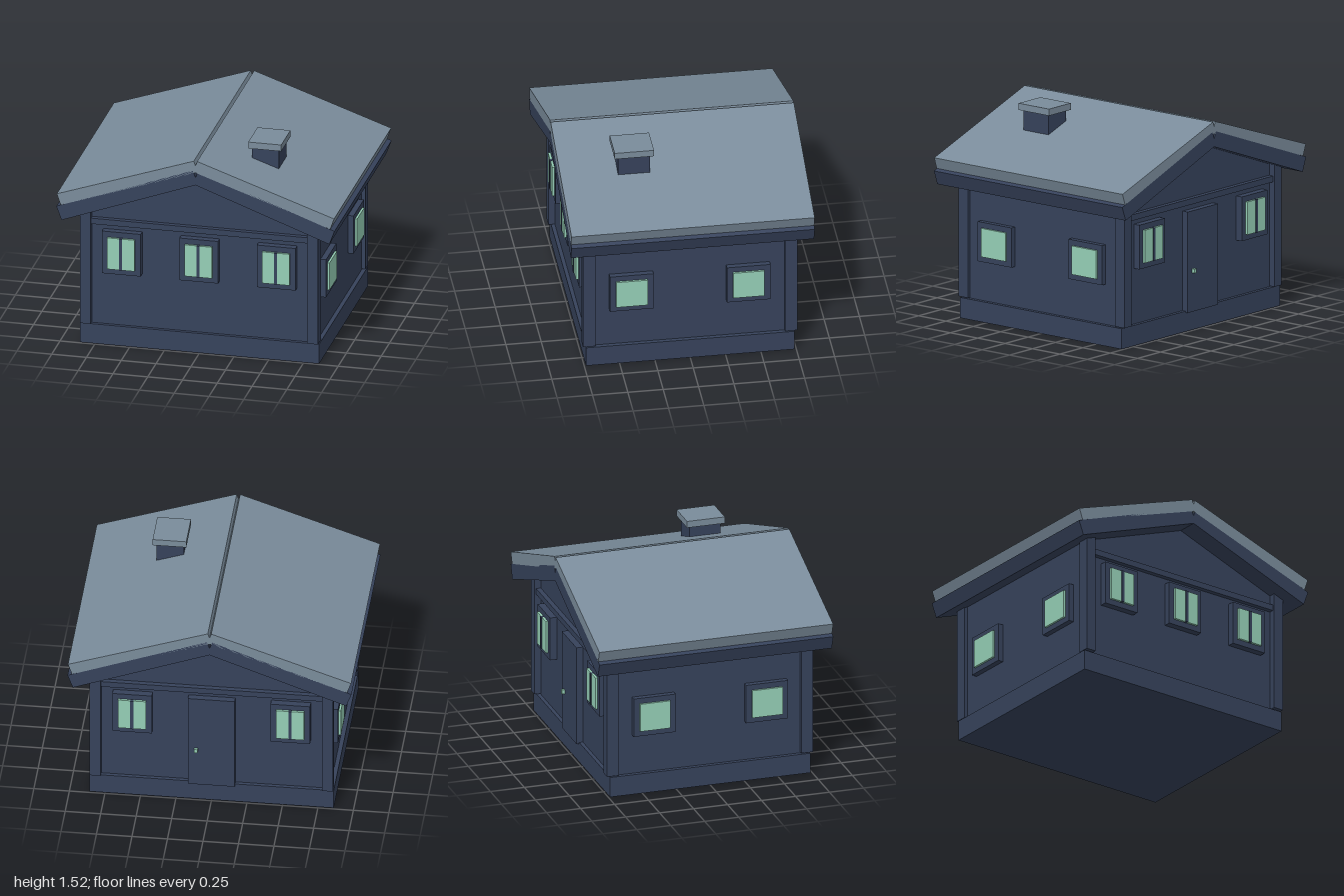
import * as THREE from 'three';

export function createModel() {
  const house = new THREE.Group();
  house.name = 'house';
  const mat = (name, color) => {
    const m = new THREE.MeshStandardMaterial({ color });
    m.name = name;
    return m;
  };
  const navy = mat('navy walls', 0x36425b);
  const slate = mat('slate roof', 0x7a8c9b);
  const green = mat('pale green glass', 0x95cfb6);

  // Box given by its lower and upper limits on each axis
  const box = (parent, name, material, [x0, x1], [y0, y1], [z0, z1]) => {
    const geo = new THREE.BoxGeometry(x1 - x0, y1 - y0, z1 - z0);
    const mesh = new THREE.Mesh(geo, material);
    mesh.position.set((x0 + x1) / 2, (y0 + y1) / 2, (z0 + z1) / 2);
    mesh.name = name;
    parent.add(mesh);
    return mesh;
  };

  box(house, 'foundation', navy, [-0.86, 0.86], [0, 0.147], [-0.737, 0.737]);

  // Walls with gables, as one extruded pentagon
  const outline = new THREE.Shape([
    [-0.83, 0.14], [0.83, 0.14], [0.83, 1.04], [0, 1.345], [-0.83, 1.04],
  ].map(([x, y]) => new THREE.Vector2(x, y)));
  const wallGeo = new THREE.ExtrudeGeometry(outline, { depth: 1.42, bevelEnabled: false });
  wallGeo.translate(0, 0, -0.71);
  const walls = new THREE.Mesh(wallGeo, navy);
  walls.name = 'walls';
  house.add(walls);

  // Corner posts
  for (const sx of [-1, 1]) {
    for (const sz of [-1, 1]) {
      const post = box(house, 'cornerPost', navy, [-0.0385, 0.0385], [0.153, 1.04], [-0.0435, 0.0435]);
      post.position.x = sx * 0.8175;
      post.position.z = sz * 0.7145;
    }
  }

  // Window facing +z, in its own frame with the wall plane at z = 0
  const makeWindow = (w, h, paneW, paneH, wallToFrame, wallToPane, mullion) => {
    const g = new THREE.Group();
    g.name = 'window';
    box(g, 'windowFrame', navy, [-w / 2, w / 2], [-h / 2, h / 2], [-0.01, wallToFrame]);
    box(g, 'windowPane', green, [-paneW / 2, paneW / 2], [-paneH / 2, paneH / 2], [0, wallToPane]);
    if (mullion) {
      box(g, 'mullion', navy, [-0.011, 0.011], [-paneH / 2 - 0.001, paneH / 2 + 0.001], [0, wallToPane + 0.006]);
    }
    return g;
  };

  // Front and back: beam and split windows
  for (const back of [false, true]) {
    const side = new THREE.Group();
    side.name = back ? 'backSide' : 'frontSide';
    side.rotation.y = back ? Math.PI : 0;
    box(side, 'gableBeam', navy, [-0.78, 0.78], [0.905, 0.948], [0.7, 0.745]);
    for (const x of back ? [-0.557, 0.557] : [-0.557, 0, 0.557]) {
      const win = makeWindow(0.278, 0.318, 0.197, 0.236, 0.051, 0.068, true);
      win.position.set(x, 0.706, 0.71);
      side.add(win);
    }
    house.add(side);
  }

  // Left and right: square windows
  for (const sx of [-1, 1]) {
    for (const z of [-0.412, 0.415]) {
      const win = makeWindow(0.308, 0.285, 0.222, 0.205, 0.04, 0.055, false);
      win.position.set(sx * 0.83, 0.578, z);
      win.rotation.y = sx * Math.PI / 2;
      house.add(win);
    }
  }

  // Back door with handle
  box(house, 'door', navy, [-0.165, 0.165], [0.137, 0.862], [-0.757, -0.7]);
  box(house, 'doorHandle', green, [0.095, 0.12], [0.417, 0.446], [-0.779, -0.75]);

  // Roof slabs, each hung from its upper eave edge and mirrored by a half turn
  const slab = (name, material, eaveX, eaveY, length, thickness, angle) => {
    const geo = new THREE.BoxGeometry(length, thickness, 1.72);
    geo.translate(-length / 2, -thickness / 2, 0);
    geo.rotateZ(-angle);
    geo.translate(eaveX, eaveY, 0);
    for (const turn of [0, Math.PI]) {
      const mesh = new THREE.Mesh(geo, material);
      mesh.rotation.y = turn;
      mesh.name = name;
      house.add(mesh);
    }
  };
  slab('lowerRoof', navy, 1, 1.063, 1.046, 0.108, 0.354);
  slab('upperRoof', slate, 0.997, 1.157, 1.042, 0.086, 0.333);

  // Chimney
  box(house, 'chimney', navy, [0.31, 0.503], [1.25, 1.475], [0.231, 0.457]);
  box(house, 'chimneyCap', slate, [0.29, 0.527], [1.473, 1.521], [0.206, 0.484]);

  return house;
}
